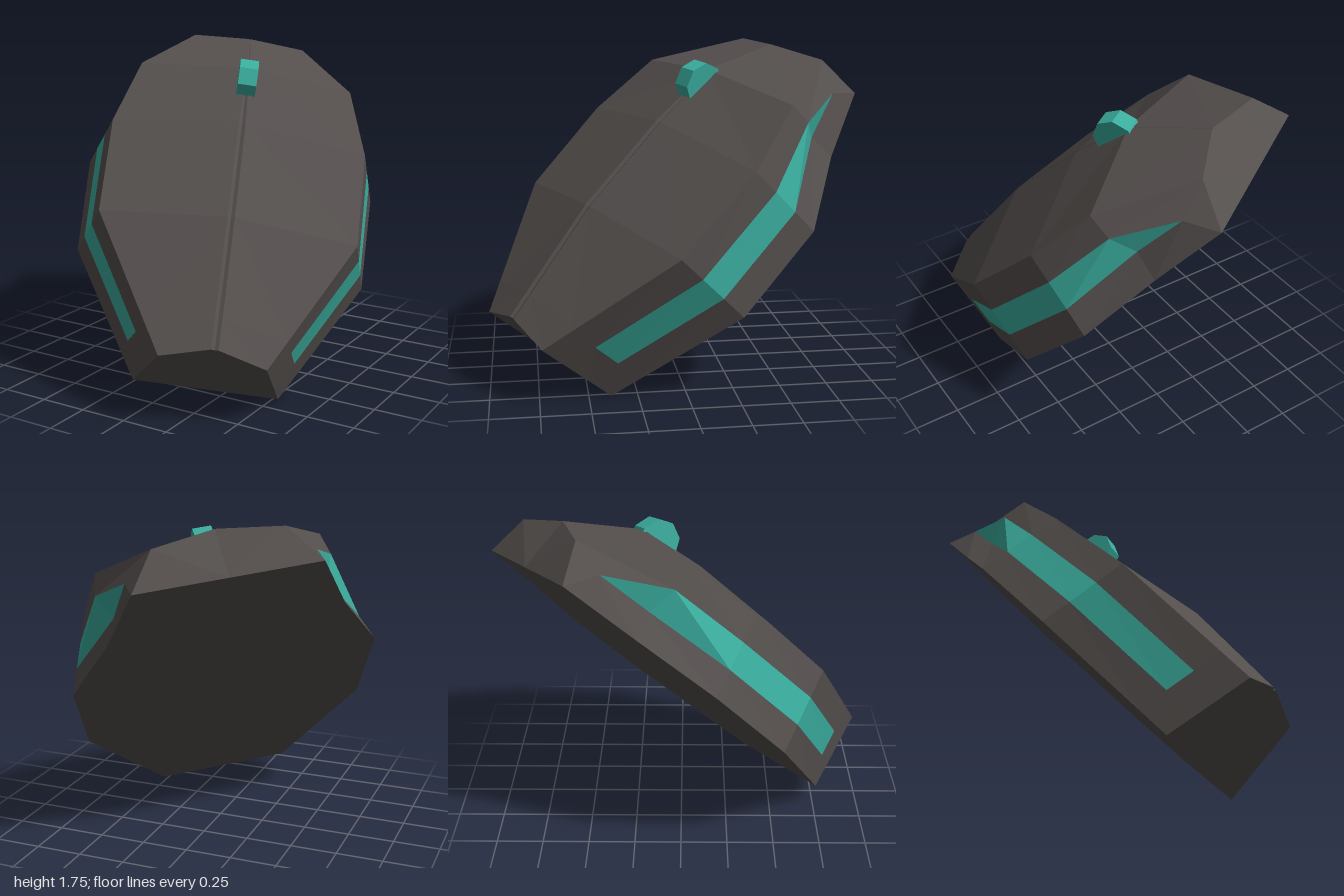
import * as THREE from 'three';

const shell = new THREE.MeshStandardMaterial({ color: 0x544f4d });
shell.name = 'charcoal';
const accent = new THREE.MeshStandardMaterial({ color: 0x3aad9e });
accent.name = 'teal';

// Half cross-section (side +x): bottom edge, strip low, strip high, top rim, groove lip, groove floor
function section(bottom, top, crest, lip, low, high) {
  const b = new THREE.Vector3(...bottom), t = new THREE.Vector3(...top), c = new THREE.Vector3(...crest);
  const l = low ? new THREE.Vector3(...low) : b.clone().lerp(t, 1 / 3);
  const h = high ? new THREE.Vector3(...high) : b.clone().lerp(t, 2 / 3);
  const edge = c.clone().lerp(t, lip / t.x);
  const floor = c.clone();
  floor.y -= lip * 0.8;
  return [b, l, h, t, edge, floor];
}

// Flat-faced mesh from a list of triangle corners
function facetMesh(name, corners, material) {
  const geometry = new THREE.BufferGeometry().setFromPoints(corners);
  geometry.computeVertexNormals();
  const mesh = new THREE.Mesh(geometry, material);
  mesh.name = name;
  return mesh;
}

function addTriangle(list, a, b, c) {
  const area = b.clone().sub(a).cross(c.clone().sub(a)).length();
  if (area > 1e-7) list.push(a, b, c);
}

export function createModel() {
  const group = new THREE.Group();
  group.name = 'pointingDevice';

  // Device built flat: x across, y up from its base, z from front to back
  const device = new THREE.Group();
  device.name = 'device';
  const tip = [0.465, 0.147, 1.965];
  const stations = [
    section([0.374, 0, 0], [0.26, 0.462, -0.042], [0, 0.534, 0], 0.018),
    section([0.778, 0, 0.692], [0.66, 0.472, 0.688], [0, 0.605, 0.68], 0.018),
    section([0.807, 0, 1.257], [0.68, 0.453, 1.256], [0, 0.587, 1.265], 0.018),
    section([0.595, 0, 1.679], [0.583, 0.437, 1.671], [0, 0.535, 1.665], 0.008,
      [0.54, 0.15, 1.675], [0.605, 0.3, 1.674]),
    section([0.4535, 0, 2.082], [0.32, 0.219, 2.099], [0, 0.298, 2.061], 0.004, tip, tip),
    section([0.4535, 0, 2.082], [0.32, 0.219, 2.099], [0, 0.298, 2.061], 0.004),
  ];
  // Extra section where the side strips begin
  stations.splice(1, 0, stations[0].map((p, k) => p.clone().lerp(stations[1][k], 0.22)));

  // Full rings, mirrored across x
  const rings = stations.map(half => [
    ...half,
    ...half.slice(0, -1).reverse().map(p => new THREE.Vector3(-p.x, p.y, p.z)),
  ]);
  const count = rings[0].length;
  const body = [], leftStrip = [], rightStrip = [];

  // Skin between neighbouring rings; the middle side band is the strip
  for (let i = 0; i < rings.length - 1; i++) {
    for (let j = 0; j < count; j++) {
      const k = (j + 1) % count;
      const a = rings[i][j], b = rings[i][k], c = rings[i + 1][k], d = rings[i + 1][j];
      const onStrip = i >= 1 && i <= 4;
      const list = onStrip && j === 1 ? rightStrip : onStrip && j === count - 3 ? leftStrip : body;
      if (j < count / 2 - 1) {
        addTriangle(list, a, b, c);
        addTriangle(list, a, c, d);
      } else {
        addTriangle(list, a, b, d);
        addTriangle(list, b, c, d);
      }
    }
  }

  // End faces, fanned from the middle of the base edge
  const first = rings[0], last = rings[rings.length - 1];
  const frontMid = new THREE.Vector3(0, 0, first[0].z);
  const backMid = new THREE.Vector3(0, 0, last[0].z);
  for (let j = 0; j < count - 1; j++) {
    addTriangle(body, frontMid, first[j + 1], first[j]);
    addTriangle(body, backMid, last[j], last[j + 1]);
  }
  device.add(
    facetMesh('shell', body, shell),
    facetMesh('rightStrip', rightStrip, accent),
    facetMesh('leftStrip', leftStrip, accent),
  );

  // Scroll wheel
  const wheelGeometry = new THREE.CylinderGeometry(0.12, 0.12, 0.1, 8).toNonIndexed();
  wheelGeometry.computeVertexNormals();
  const wheel = new THREE.Mesh(wheelGeometry, accent);
  wheel.name = 'scrollWheel';
  wheel.rotation.z = Math.PI / 2;
  wheel.position.set(0, 0.53, 1.573);
  device.add(wheel);

  // Tilt the device into its resting pose
  const across = new THREE.Vector3(-0.849, 0.144, 0.508).normalize();
  const along = new THREE.Vector3(-0.265, 0.716, -0.646).normalize();
  const up = along.clone().cross(across).normalize();
  along.crossVectors(across, up);
  device.quaternion.setFromRotationMatrix(new THREE.Matrix4().makeBasis(across, up, along));
  device.position.set(0.2075, 0.055, 0.575);
  group.add(device);
  return group;
}
